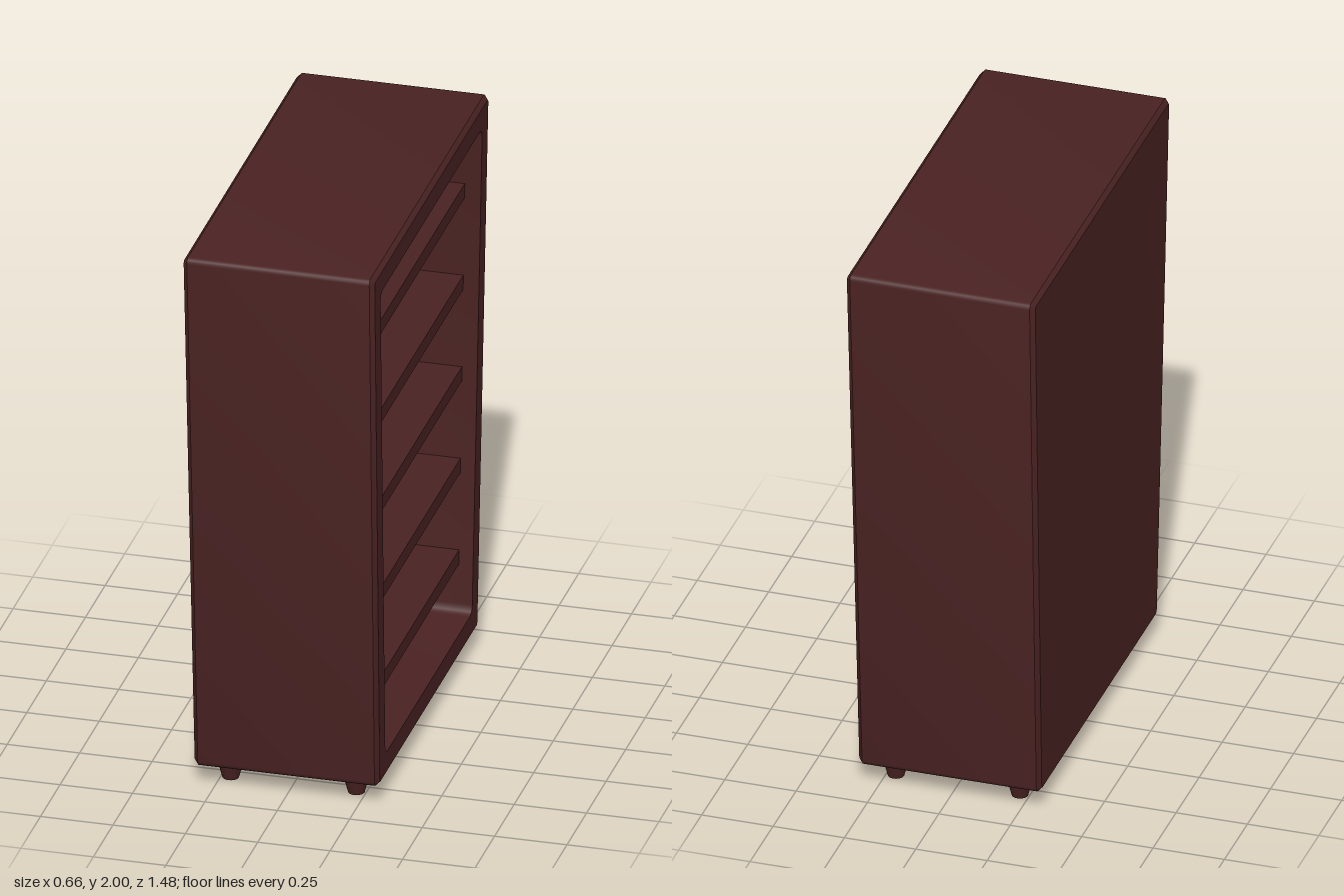
import * as THREE from 'three';
import { toCreasedNormals } from 'three/addons/utils/BufferGeometryUtils.js';

const BOTTOM = 0.07, TOP = 2;
// half the cabinet's length (along z) and a slight sideways flare, both growing upwards
const halfLength = (y) => 0.637 + (y - BOTTOM) * 0.0544;
const flare = (y) => 0.967 + (y / TOP) * 0.033;

// rounded trapezoid cross-section at x, shrunk by inset
function ring(x, inset, radius, steps = 4) {
  const points = [];
  for (let corner = 0; corner < 4; corner++) {
    const su = corner === 0 || corner === 3 ? 1 : -1;
    const sy = corner < 2 ? 1 : -1;
    const edgeY = sy > 0 ? TOP - inset : BOTTOM + inset;
    for (let i = 0; i <= steps; i++) {
      const a = (corner + i / steps) * Math.PI / 2;
      const y = edgeY - sy * radius + radius * Math.sin(a);
      const u = su * (halfLength(y) - inset - radius) + radius * Math.cos(a);
      points.push(new THREE.Vector3(x * flare(y), y, -u));
    }
  }
  return points;
}

// skin over the rings, closed at both ends
function loft(rings) {
  const pos = [];
  const tri = (...vs) => vs.forEach((v) => pos.push(v.x, v.y, v.z));
  const n = rings[0].length;
  const centre = (r) => r.reduce((s, p) => s.add(p), new THREE.Vector3()).divideScalar(n);
  const first = rings[0], last = rings[rings.length - 1];
  const c0 = centre(first), c1 = centre(last);
  for (let j = 0; j < n; j++) {
    const k = (j + 1) % n;
    for (let i = 0; i < rings.length - 1; i++) {
      const a = rings[i], b = rings[i + 1];
      tri(a[j], a[k], b[k]);
      tri(a[j], b[k], b[j]);
    }
    tri(c0, first[k], first[j]);
    tri(c1, last[j], last[k]);
  }
  const geo = new THREE.BufferGeometry();
  geo.setAttribute('position', new THREE.Float32BufferAttribute(pos, 3));
  return toCreasedNormals(geo, 0.5);
}

export function createModel() {
  const group = new THREE.Group();
  const wood = new THREE.MeshStandardMaterial({ color: 0x4a2222 });
  wood.name = 'dark red wood';
  const add = (name, geo) => {
    const mesh = new THREE.Mesh(geo, wood);
    mesh.name = name;
    group.add(mesh);
    return mesh;
  };

  // cabinet: bevelled shell, open on +x, with a hollow inside
  const wall = 0.087, bevel = 0.015;
  add('cabinet', loft([
    ring(-0.33, bevel, 0.012),
    ring(-0.33 + bevel, 0, 0.02),
    ring(0.33 - bevel, 0, 0.02),
    ring(0.33, bevel, 0.012),
    ring(0.33, wall, 0.03),
    ring(-0.25, wall, 0.03),
  ]));

  // shelves, ends following the sloping walls
  const shelfBack = -0.255, shelfFront = 0.272;
  for (let i = 0; i < 5; i++) {
    const geo = new THREE.BoxGeometry(shelfFront - shelfBack, 0.052, 1);
    geo.translate((shelfFront + shelfBack) / 2, 0.355 + i * 0.331, 0);
    const p = geo.attributes.position;
    for (let v = 0; v < p.count; v++) {
      p.setZ(v, Math.sign(p.getZ(v)) * (halfLength(p.getY(v)) - wall + 0.004));
    }
    geo.computeVertexNormals();
    add('shelf' + (i + 1), geo);
  }

  // tapered feet
  for (const sx of [-1, 1]) {
    for (const sz of [-1, 1]) {
      const foot = add('foot', new THREE.CylinderGeometry(0.048, 0.028, BOTTOM + 0.005, 20));
      foot.position.set(sx * 0.217, (BOTTOM + 0.005) / 2, sz * 0.542);
    }
  }
  return group;
}
